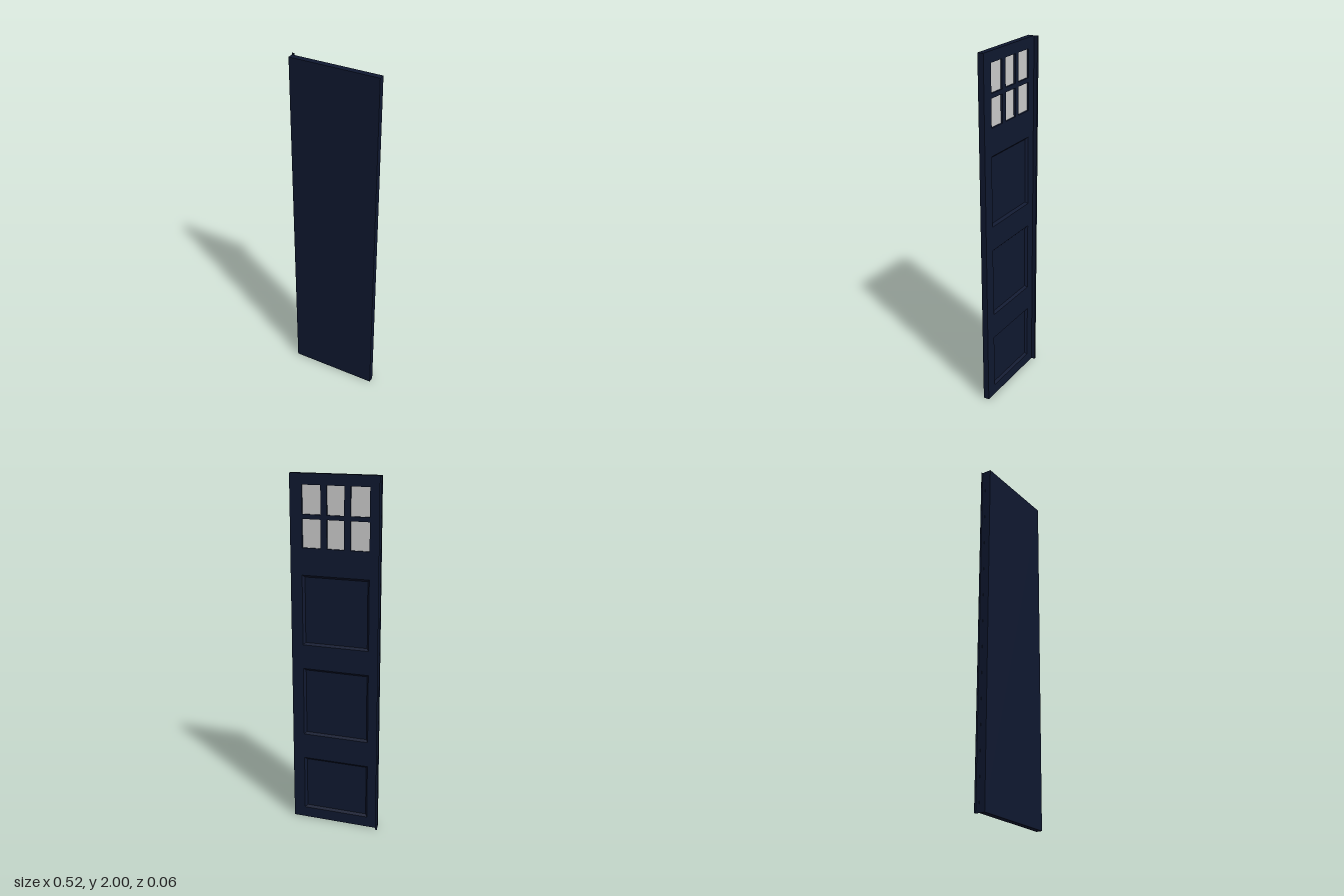
import * as THREE from 'three';

const navy = new THREE.MeshStandardMaterial({ color: 0x0f1830, flatShading: true, side: THREE.DoubleSide });
const glass = new THREE.MeshStandardMaterial({ color: 0xcccccc });

const LEFT = 0.2595, RIGHT = -0.247;              // door edges in x
const FRONT = 0.0272, BACK = -0.0065, DEEP = 0.0065; // faces and recess floor in z
const LIP = -0.0275;

// The door leans very slightly towards +x and +z as it rises
const lean = new THREE.Matrix4().set(
  1, 0.0025, 0, -0.0025,
  0, 1, 0, 0,
  0, 0.0025, 1, -0.0025,
  0, 0, 0, 1);

const corners = ([x0, x1, y0, y1]) => [[x0, y0], [x1, y0], [x1, y1], [x0, y1]];

function box(x0, x1, y0, y1, z0, z1) {
  return new THREE.BoxGeometry(x1 - x0, y1 - y0, z1 - z0)
    .translate((x0 + x1) / 2, (y0 + y1) / 2, (z0 + z1) / 2);
}

// Sloping moulding from the back face down to the recess floor
function moulding([x0, x1, y0, y1], inset) {
  const outer = corners([x0, x1, y0, y1]);
  const inner = corners([x0 + inset, x1 - inset, y0 + inset, y1 - inset]);
  const pos = [], index = [];
  for (let i = 0; i < 4; i++) {
    const j = (i + 1) % 4, n = i * 4;
    pos.push(...outer[i], BACK, ...outer[j], BACK, ...inner[j], DEEP, ...inner[i], DEEP);
    index.push(n, n + 2, n + 1, n, n + 3, n + 2);
  }
  const g = new THREE.BufferGeometry();
  g.setAttribute('position', new THREE.Float32BufferAttribute(pos, 3));
  g.setIndex(index);
  g.computeVertexNormals();
  return g;
}

export function createModel() {
  const group = new THREE.Group();
  group.name = 'door';
  const add = (name, geometry, material = navy) => {
    const mesh = new THREE.Mesh(geometry.applyMatrix4(lean), material);
    mesh.name = name;
    group.add(mesh);
  };

  // Openings: two rows of three windows above three panels
  const windows = [];
  for (const [y0, y1] of [[1.785, 1.94], [1.605, 1.76]])
    for (const [x0, x1] of [[-0.19, -0.084], [-0.049, 0.049], [0.084, 0.19]])
      windows.push([x0, x1, y0, y1]);
  const panels = [[1.06, 1.455], [0.525, 0.922], [0.06, 0.378]]
    .map(([y0, y1]) => [-0.19, 0.193, y0, y1]);

  // Plain front slab
  add('frontSlab', box(RIGHT, LEFT, 0, 2, DEEP, FRONT));

  // Back frame pierced by the openings
  const toPath = (Type, r) => new Type(corners(r).map(p => new THREE.Vector2(...p)));
  const shape = toPath(THREE.Shape, [RIGHT, LEFT, 0, 2]);
  for (const r of [...windows, ...panels]) shape.holes.push(toPath(THREE.Path, r));
  add('backFrame', new THREE.ExtrudeGeometry(shape, { depth: DEEP - BACK, bevelEnabled: false })
    .translate(0, 0, BACK));

  // Window panes and panel mouldings
  for (const [x0, x1, y0, y1] of windows)
    add('windowPane', box(x0, x1, y0, y1, DEEP - 0.003, DEEP + 0.002), glass);
  for (const r of panels) add('panelMoulding', moulding(r, 0.012));

  // Thin angled closing strip along the right edge
  add('stripWeb', box(RIGHT - 0.0005, RIGHT + 0.0005, 0, 2, LIP, BACK));
  add('stripLip', box(-LEFT, RIGHT, 0, 2, LIP, LIP + 0.001));

  return group;
}
